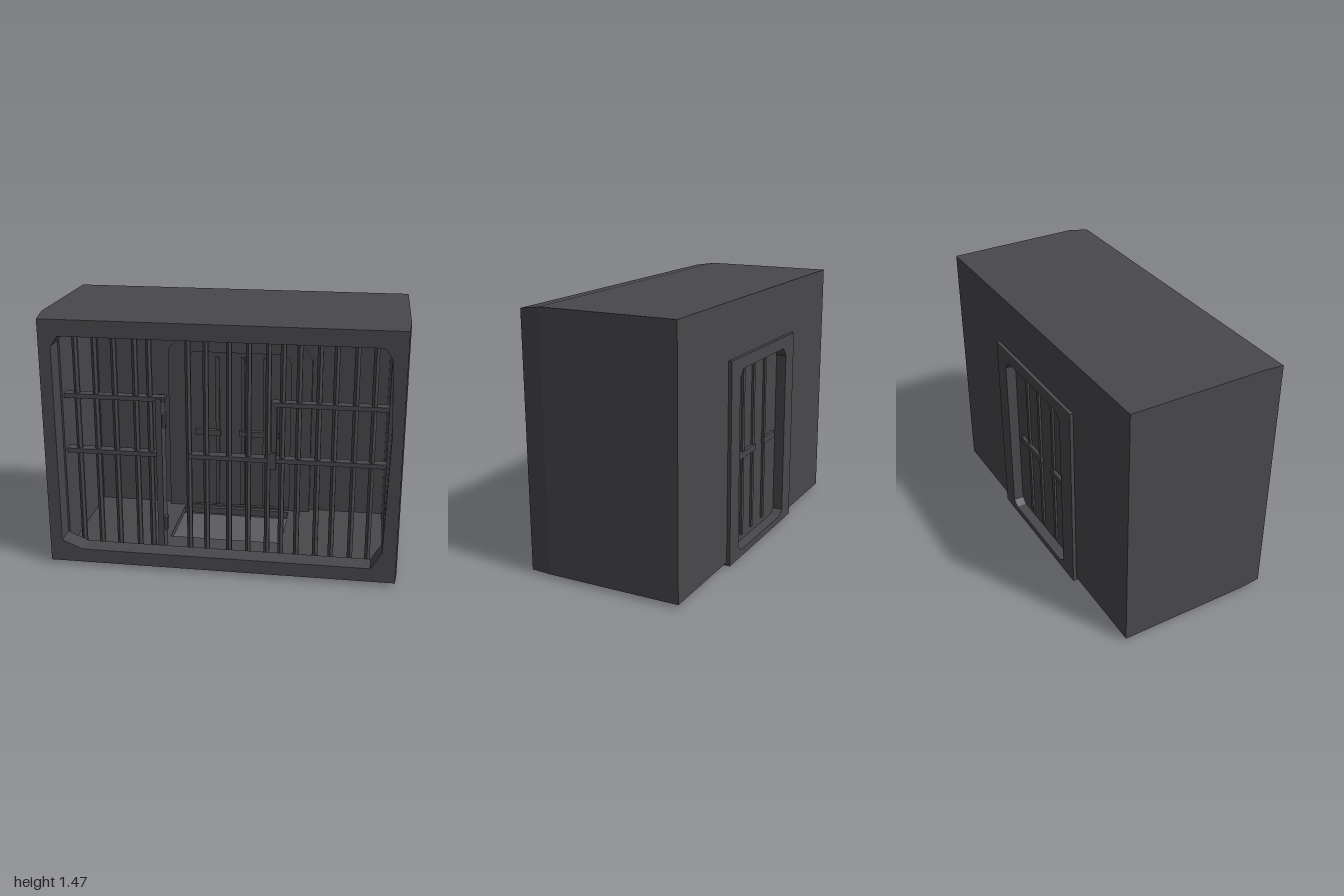
import * as THREE from 'three';

export function createModel() {
  const group = new THREE.Group();
  const iron = new THREE.MeshStandardMaterial({ color: 0x48474b, flatShading: true, side: THREE.DoubleSide });
  iron.name = 'dark iron';

  const add = (name, geometry) => {
    const mesh = new THREE.Mesh(geometry, iron);
    mesh.name = name;
    group.add(mesh);
    return mesh;
  };
  // box given by its limits
  const block = (name, x0, x1, y0, y1, z0, z1) => {
    const mesh = add(name, new THREE.BoxGeometry(x1 - x0, y1 - y0, z1 - z0));
    mesh.position.set((x0 + x1) / 2, (y0 + y1) / 2, (z0 + z1) / 2);
    return mesh;
  };
  const shapeOf = (points) => new THREE.Shape(points.map(([x, y]) => new THREE.Vector2(x, y)));
  const rect = (x0, x1, y0, y1) => [[x0, y0], [x1, y0], [x1, y1], [x0, y1]];
  // flat plate with one opening, from z0 to z1
  const plate = (name, outer, hole, z0, z1) => {
    const shape = shapeOf(outer);
    shape.holes.push(shapeOf(hole));
    const geometry = new THREE.ExtrudeGeometry(shape, { depth: z1 - z0, bevelEnabled: false });
    geometry.translate(0, 0, z0);
    return add(name, geometry);
  };

  // cell shell
  block('leftWall', 0.91, 1, 0.02, 1.47, -0.44, 0.34);
  block('rightWall', -1, -0.91, 0.02, 1.47, -0.44, 0.34);
  block('ceiling', -0.91, 0.91, 1.36, 1.47, -0.44, 0.34);
  const doorway = [[-0.33, 0.07], [-0.29, 0.04], [0.28, 0.04], [0.32, 0.07], [0.32, 1.04], [0.28, 1.09], [-0.29, 1.09], [-0.33, 1.04]];
  plate('backWall', rect(-0.91, 0.91, 0.02, 1.36), doorway, -0.44, -0.39);

  // floor with its rectangular opening
  const floor = plate('floor', rect(-0.91, 0.91, -0.34, 0.39), rect(-0.35, 0.32, -0.13, 0.32), 0.02, 0.06);
  floor.geometry.rotateX(-Math.PI / 2);

  // front rim, with worn corners and a chamfered outer edge
  const rim = plate('frontRim', rect(-1, 1, 0.02, 1.47),
    [[-0.92, 0.15], [-0.8, 0.1], [0.85, 0.1], [0.91, 0.2], [0.93, 0.9], [0.91, 1.3], [0.87, 1.36], [-0.88, 1.36], [-0.92, 1.3]],
    0.34, 0.46);
  const p = rim.geometry.attributes.position;
  for (let i = 0; i < p.count; i++) {
    if (p.getZ(i) < 0.45) continue;
    if (p.getY(i) > 1.46) p.setY(i, 1.453);
    if (Math.abs(p.getX(i)) > 0.99) p.setX(i, Math.sign(p.getX(i)) * 0.99);
  }
  rim.geometry.computeVertexNormals();

  // back door: outer frame, inner frame and recessed panel
  plate('doorFrame', rect(-0.45, 0.43, 0, 1.16), doorway, -0.46, -0.43);
  plate('innerDoorFrame',
    [[-0.45, 0.06], [0.45, 0.06], [0.45, 1.06], [0.38, 1.16], [-0.4, 1.16], [-0.45, 1.1]],
    [[-0.33, 0.07], [0.32, 0.07], [0.32, 1.04], [0.28, 1.09], [-0.29, 1.09], [-0.33, 1.04]], -0.39, -0.35);
  block('doorPanel', -0.33, 0.32, 0.04, 1.09, -0.4, -0.37);
  for (const x of [-0.14, 0.02, 0.16]) block('doorRib', x - 0.012, x + 0.012, 0.08, 1.06, -0.412, -0.355);
  for (const [x0, x1] of [[-0.28, -0.12], [0, 0.25]]) block('doorRail', x0, x1, 0.55, 0.585, -0.42, -0.34);
  // sloping sill under the door
  const sill = new THREE.ExtrudeGeometry(shapeOf([[0.3, 0.021], [0.44, 0], [0.44, 0.021]]), { depth: 0.88, bevelEnabled: false });
  sill.rotateY(Math.PI / 2);
  add('doorSill', sill).position.x = -0.45;

  // front bars
  const barZ = 0.28;
  const bar = new THREE.CylinderGeometry(0.018, 0.018, 1.3, 6);
  for (const x of [-0.84, -0.73, -0.62, -0.5, -0.42, -0.2, -0.1, 0.03, 0.14, 0.25, 0.33, 0.42, 0.53, 0.62, 0.73, 0.83]) {
    add('verticalBar', bar).position.set(x, 0.71, barZ);
  }
  for (const [x0, x1, y] of [[-0.91, -0.33, 0.98], [-0.91, -0.38, 0.65], [0.27, 0.91, 0.98], [-0.2, 0.91, 0.65]]) {
    block('crossBar', x0, x1, y - 0.013, y + 0.013, barZ - 0.03, barZ + 0.03);
  }

  // gate post with hinges, and the lock
  block('gatePost', -0.38, -0.345, 0.06, 0.99, barZ - 0.05, barZ + 0.05);
  for (const y of [0.22, 0.85]) block('hinge', -0.35, -0.33, y - 0.04, y + 0.04, barZ - 0.02, barZ + 0.02);
  block('lockPost', 0.27, 0.3, 0.6, 0.99, barZ - 0.025, barZ + 0.025);
  block('lockBox', 0.25, 0.3, 0.6, 0.7, barZ - 0.035, barZ + 0.04);

  return group;
}
